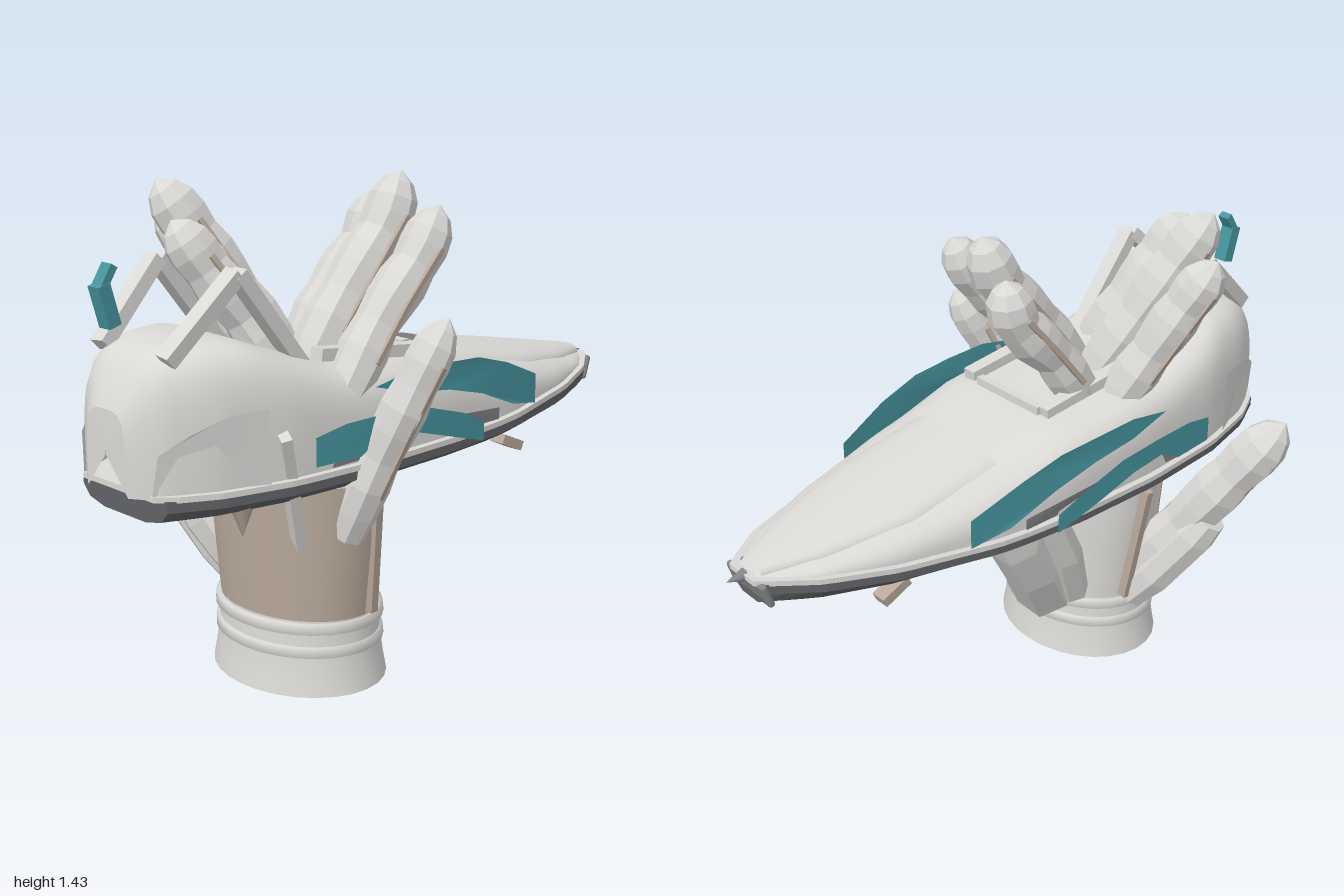
import * as THREE from 'three';
import { RoundedBoxGeometry } from 'three/addons/geometries/RoundedBoxGeometry.js';

const paint = (name, color) => {
  const m = new THREE.MeshStandardMaterial({ color, side: THREE.DoubleSide });
  m.name = name;
  return m;
};
const V = (x, y, z) => new THREE.Vector3(x, y, z);
const CZ = 0.06; // centre line of the shoe

// Skin a row of equal-length rings; optional end caps
function loft(rings, { flat = false, closed = true, caps = false } = {}) {
  const n = rings[0].length, pos = [], idx = [];
  rings.forEach(r => r.forEach(p => pos.push(p.x, p.y, p.z)));
  for (let i = 0; i < rings.length - 1; i++) {
    for (let j = 0; j < (closed ? n : n - 1); j++) {
      const a = i * n + j, b = i * n + (j + 1) % n;
      idx.push(a, b, a + n, b, b + n, a + n);
    }
  }
  if (caps) {
    const e = (rings.length - 1) * n;
    for (let j = 1; j < n - 1; j++) idx.push(0, j + 1, j, e, e + j, e + j + 1);
  }
  let g = new THREE.BufferGeometry();
  g.setAttribute('position', new THREE.Float32BufferAttribute(pos, 3));
  g.setIndex(idx);
  if (flat) g = g.toNonIndexed();
  g.computeVertexNormals();
  return g;
}

// Linear lookup in a list of [x, value]
function at(table, x) {
  if (x <= table[0][0]) return table[0][1];
  for (let i = 1; i < table.length; i++) {
    const [x0, y0] = table[i - 1], [x1, y1] = table[i];
    if (x <= x1) return y0 + (y1 - y0) * (x - x0) / (x1 - x0);
  }
  return table[table.length - 1][1];
}
const HALF = [[-0.98, 0.1], [-0.93, 0.18], [-0.8, 0.25], [-0.6, 0.305], [-0.3, 0.335], [0, 0.335],
  [0.3, 0.31], [0.6, 0.245], [0.8, 0.165], [0.93, 0.075], [0.97, 0.04]];
const TOP = [[-0.98, 0.9], [-0.95, 0.98], [-0.89, 1.04], [-0.8, 1.06], [-0.68, 1.06], [-0.55, 1.01], [-0.4, 0.96],
  [0, 0.92], [0.2, 0.87], [0.6, 0.8], [0.93, 0.74]];
const POWER = [[-0.98, 0.52], [-0.7, 0.44], [-0.2, 0.4], [0.2, 0.54], [0.93, 0.87]];
const rimY = x => at([[-1, 0.68], [0.2, 0.685], [0.93, 0.725]], x);
const span = (a, b, n) => Array.from({ length: n + 1 }, (_, i) => a + (b - a) * i / n);

// Arched section across the shoe at x
function arch(x, half, y0, y1, power) {
  return span(Math.PI, 0, 32).map(t => {
    const c = Math.cos(t), s = Math.max(0, Math.sin(t));
    return V(x, y0 + (y1 - y0) * Math.pow(s, power), CZ + half * Math.sign(c) * Math.pow(Math.abs(c), power));
  });
}

export function createModel() {
  const root = new THREE.Group();
  const white = paint('light grey', 0xdad9d6), dark = paint('dark rubber', 0x606265);
  const teal = paint('teal', 0x47959f), beige = paint('beige', 0xb9a99b), grey = paint('mid grey', 0x86878a);
  const add = (name, geo, mat, parent = root) => {
    const m = new THREE.Mesh(geo, mat);
    m.name = name;
    parent.add(m);
    return m;
  };
  const bar = (name, a, b, w, d, mat, parent = root) => {
    const dir = b.clone().sub(a);
    const m = add(name, new THREE.BoxGeometry(w, dir.length(), d), mat, parent);
    m.position.copy(a).add(b).multiplyScalar(0.5);
    m.quaternion.setFromUnitVectors(V(0, 1, 0), dir.normalize());
  };

  // Shoe upper and raised toe panel
  add('shoeUpper', loft(span(-0.98, 0.93, 44).map(x =>
    arch(x, at(HALF, x) - 0.015, rimY(x), at(TOP, x), at(POWER, x))), { closed: false }), white);
  const toeHalf = [[0.2, 0.205], [0.5, 0.19], [0.75, 0.125], [0.92, 0.05]];
  add('toePanel', loft(span(0.2, 0.92, 14).map(x =>
    arch(x, at(toeHalf, x), 0.8 - (x - 0.2) * 0.1, 0.9 - (x - 0.2) * 0.19, 0.7)), { closed: false }), white);
  add('heelWall', loft([arch(-0.982, 0.001, 0.78, 0.79, 0.52), arch(-0.98, 0.085, 0.68, 0.9, 0.52)], { closed: false }), white);

  // Sole with tapered underside, and the thin rim above it
  const slab = (x, rows) => {
    const w = at(HALF, x), l = rows.map(([k, y]) => V(x, y, CZ + w * k));
    return l.concat(rows.map(([k, y]) => V(x, y, CZ - w * k)).reverse());
  };
  add('sole', loft(span(-0.93, 0.93, 40).map(x => {
    const y = rimY(x);
    return slab(x, [[1, y], [1, y - 0.03], [0.85, y - 0.06], [0.5, y - 0.075]]);
  }), { flat: true, caps: true }), dark);
  add('soleRim', loft(span(-0.95, 0.95, 40).map(x =>
    slab(x, [[1.015, rimY(x) - 0.004], [1.015, rimY(x) + 0.012]])), { flat: true, caps: true }), white);

  // Toe fitting
  const cap = add('toeCap', new RoundedBoxGeometry(0.02, 0.08, 0.18, 3, 0.009), grey);
  cap.position.set(0.925, 0.69, CZ);
  cap.rotation.z = -0.3;
  const tip = add('toeTip', new THREE.ConeGeometry(0.02, 0.06, 6), grey);
  tip.position.set(0.97, 0.727, CZ);
  tip.rotation.z = -Math.PI / 2;

  // Side trims that follow the outline of the shoe
  const trims = [
    ['upperStripe', teal, 0.012, [[-0.34, 0.9], [-0.2, 0.925], [-0.06, 0.92], [0.08, 0.91], [0.22, 0.87], [0.39, 0.8], [0.39, 0.71], [0.26, 0.735], [0.1, 0.8], [-0.05, 0.84], [-0.2, 0.86]]],
    ['lowerStripe', teal, 0.022, [[-0.55, 0.8], [-0.45, 0.82], [-0.3, 0.825], [-0.15, 0.81], [0, 0.765], [0.1, 0.72], [0.1, 0.66], [-0.05, 0.705], [-0.2, 0.75], [-0.32, 0.765], [-0.4, 0.72], [-0.55, 0.72]]],
    ['sidePanel', grey, 0.003, [[-0.48, 0.7], [-0.45, 0.76], [-0.15, 0.765], [0.2, 0.735], [0.2, 0.7]]],
    ['heelPanel', white, 0.006, [[-0.95, 0.69], [-0.94, 0.8], [-0.87, 0.85], [-0.78, 0.89], [-0.67, 0.895], [-0.67, 0.69]]],
  ];
  for (const [name, mat, gap, pts] of trims) for (const s of [1, -1]) {
    const g = new THREE.ShapeGeometry(new THREE.Shape(pts.map(p => new THREE.Vector2(...p))));
    const p = g.attributes.position;
    for (let i = 0; i < p.count; i++) p.setZ(i, CZ + s * (at(HALF, p.getX(i)) - 0.008 + gap));
    g.computeVertexNormals();
    add(name, g, mat);
  }

  // Collar struts, lace bars and pull tab
  for (const [z0, z1] of [[-0.07, -0.1], [0.2, 0.23]]) {
    bar('collarStrut', V(-0.89, 1.03, z0), V(-0.68, 1.23, z1), 0.04, 0.05, white);
    bar('collarStrut', V(-0.68, 1.23, z1), V(-0.46, 0.95, z1), 0.04, 0.05, white);
    bar('laceBar', V(-0.42, 0.98, z1 + 0.02), V(-0.02, 0.93, z1 + 0.02), 0.035, 0.045, white);
  }
  bar('laceCross', V(-0.02, 0.935, -0.07), V(-0.02, 0.935, 0.2), 0.025, 0.025, white);
  bar('pullTab', V(-0.95, 1.11, CZ), V(-0.98, 1.22, CZ), 0.038, 0.045, teal);
  bar('pullTabTip', V(-0.98, 1.21, CZ), V(-0.945, 1.265, CZ), 0.022, 0.04, teal);

  // Pegs below the sole
  for (const [x, z] of [[0.32, 0.27], [0.51, -0.08]])
    bar('peg', V(x, 0.595, z), V(x + 0.09, 0.555, z), 0.03, 0.05, beige);
  for (const [x, z] of [[-0.71, 0.27], [-0.62, -0.07]]) {
    const c = add('spike', new THREE.ConeGeometry(0.035, 0.09, 6), beige);
    c.position.set(x, 0.585, z);
    c.rotation.z = Math.PI;
  }

  // Open cuff with two bands, then the palm
  const oval = (rows, a0 = 0, a1 = Math.PI * 2) => loft(rows.map(([y, rx, rz]) => span(a1, a0, 28).map(t =>
    V(-0.325 + rx * Math.cos(t), y, 0.065 + rz * Math.sin(t)))), { closed: false });
  add('cuff', oval([[0, 0.228, 0.282], [0.06, 0.217, 0.272], [0.12, 0.208, 0.264], [0.22, 0.203, 0.26]]), white);
  for (const y of [0.115, 0.185])
    add('cuffBand', oval([[y, 0.205, 0.262], [y, 0.22, 0.273], [y + 0.03, 0.217, 0.27], [y + 0.03, 0.2, 0.258]]), white);
  add('palm', oval([[0.21, 0.19, 0.25], [0.4, 0.188, 0.272], [0.55, 0.19, 0.29], [0.66, 0.19, 0.295]]), white);
  // Beige shell wrapped round the heel side of the palm, and edge strips
  add('palmShell', oval([[0.22, 0.2, 0.26], [0.4, 0.21, 0.28], [0.62, 0.222, 0.3]], 1.5, 4.3), beige);
  for (const s of [1, -1]) {
    const z = y => 0.065 + s * (0.2 + y * 0.15);
    bar('palmStrip', V(-0.28, 0.22, z(0.22) + s * 0.02), V(-0.31, 0.62, z(0.62) + s * 0.015), 0.025, 0.03, beige);
  }

  // Faceted finger with knuckle bulges and a pointed tip
  const STATIONS = [[0, 0.8], [0.12, 0.92], [0.25, 0.98], [0.38, 0.85], [0.5, 0.96], [0.6, 1], [0.7, 0.88],
    [0.8, 0.96], [0.88, 0.9], [0.95, 0.6], [1, 0.03]];
  function tube(curve, radius, stations, sides) {
    return loft(stations.map(([t, k]) => {
      const p = curve.getPointAt(t), d = curve.getTangentAt(t);
      const u = V(0, 0, 1).addScaledVector(d, -d.z).normalize(), v = d.clone().cross(u);
      return span(0, Math.PI * 2, sides).slice(0, sides).map(a =>
        p.clone().addScaledVector(u, radius * k * Math.cos(a)).addScaledVector(v, radius * k * Math.sin(a)));
    }), { flat: true, caps: true });
  }
  function finger(name, radius, pts) {
    const g = new THREE.Group(), curve = new THREE.CatmullRomCurve3(pts.map(p => V(...p)));
    g.name = name;
    root.add(g);
    add(name + 'Skin', tube(curve, radius, STATIONS, 8), white, g);
    for (const s of [1, -1]) {
      const o = V(0, 0, s * radius * 0.95);
      bar(name + 'Strip', curve.getPointAt(0.2).add(o), curve.getPointAt(0.5).add(o), 0.016, 0.012, beige, g);
      bar(name + 'Strip', curve.getPointAt(0.5).add(o), curve.getPointAt(0.8).add(o), 0.016, 0.012, beige, g);
    }
  }
  // Fingers leaning toward the toe
  finger('frontFingerA', 0.075, [[-0.22, 0.9, -0.04], [-0.1, 1.08, -0.03], [0.03, 1.22, -0.015], [0.06, 1.35, -0.01]]);
  finger('frontFingerB', 0.078, [[-0.34, 0.9, 0.12], [-0.2, 1.1, 0.13], [-0.04, 1.28, 0.135], [0.02, 1.425, 0.14]]);
  finger('frontFingerC', 0.073, [[-0.38, 0.85, 0.3], [-0.25, 1.05, 0.31], [-0.1, 1.22, 0.325], [-0.03, 1.35, 0.335]]);
  finger('littleFinger', 0.066, [[-0.37, 0.47, 0.31], [-0.34, 0.66, 0.385], [-0.28, 0.87, 0.46], [-0.18, 1.08, 0.51]]);
  // Fingers leaning toward the heel
  finger('rearFingerA', 0.075, [[-0.28, 0.88, -0.11], [-0.36, 1.05, -0.18], [-0.44, 1.22, -0.25], [-0.49, 1.345, -0.31]]);
  finger('rearFingerB', 0.078, [[-0.34, 0.92, 0.03], [-0.43, 1.1, -0.05], [-0.53, 1.28, -0.12], [-0.61, 1.425, -0.18]]);
  finger('rearFingerC', 0.073, [[-0.47, 0.92, 0.18], [-0.54, 1.06, 0.12], [-0.64, 1.22, 0.06], [-0.71, 1.345, 0.01]]);
  // Thumb with its rounded base
  finger('thumb', 0.085, [[-0.35, 0.25, -0.14], [-0.43, 0.48, -0.29], [-0.51, 0.7, -0.43], [-0.59, 0.87, -0.53]]);
  const base = new THREE.CatmullRomCurve3([V(-0.33, 0.2, -0.17), V(-0.39, 0.36, -0.28), V(-0.45, 0.53, -0.38)]);
  add('thumbBase', tube(base, 0.07, [[0, 0.8], [0.3, 1], [0.8, 1], [1, 0.8]], 8), white);
  // Short stubs on the toe side, and the side flap by the heel
  const stub = new THREE.CatmullRomCurve3([V(-0.1, 0.23, -0.01), V(0.02, 0.42, -0.07), V(0.16, 0.64, -0.1)]);
  add('fingerStub', tube(stub, 0.09, [[0, 1.05], [0.4, 1], [0.75, 0.95], [1, 0.75]], 6), white);
  const inner = new THREE.CatmullRomCurve3([V(-0.15, 0.25, -0.09), V(-0.08, 0.42, -0.13), V(0.02, 0.63, -0.16)]);
  add('innerStub', tube(inner, 0.055, [[0, 0.9], [0.5, 1], [1, 0.8]], 6), white);
  bar('sideFlap', V(-0.63, 0.82, 0.345), V(-0.51, 0.47, 0.27), 0.07, 0.03, white);
  return root;
}
